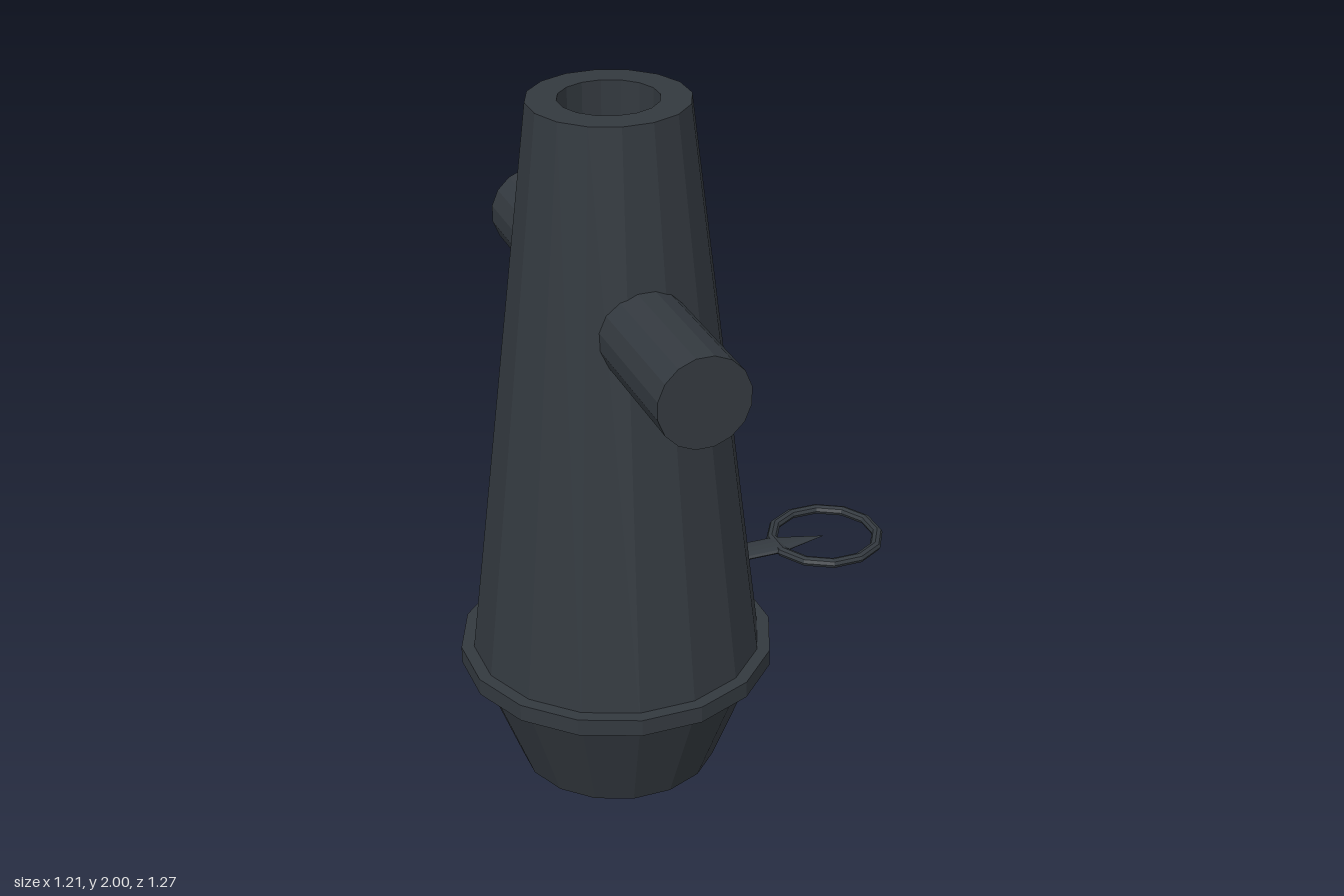
import * as THREE from 'three';

const AXIS_X = -0.182; // the barrel stands off-centre, the ring sits beside it
const SIDES = 16;

export function createModel() {
  const model = new THREE.Group();
  model.name = 'cannon';
  const iron = new THREE.MeshStandardMaterial({ color: 0x33393f, flatShading: true });
  iron.name = 'dark iron';

  const add = (parent, name, geometry, x = 0, y = 0, z = 0) => {
    const mesh = new THREE.Mesh(geometry, iron);
    mesh.name = name;
    mesh.position.set(x, y, z);
    parent.add(mesh);
    return mesh;
  };
  // Faceted turned part with flat sides facing the main axes
  const turned = (points) => new THREE.LatheGeometry(
    points.map(([r, y]) => new THREE.Vector2(r, y)), SIDES, Math.PI / SIDES);

  // Rounded-off breech with a shallow pointed end
  add(model, 'breech', turned([[0, 0], [0.272, 0.08], [0.398, 0.41]]), AXIS_X);

  // Raised band between breech and barrel
  add(model, 'breechBand', turned([[0.39, 0.4], [0.429, 0.4], [0.429, 0.448], [0.39, 0.448]]), AXIS_X);

  // Tapering barrel, muzzle rim and hollow bore
  add(model, 'barrel', turned([[0.399, 0.41], [0.208, 2], [0.129, 2], [0.129, 0.6], [0, 0.6]]), AXIS_X);

  // Cross bar passing through the barrel
  const bar = new THREE.CylinderGeometry(0.121, 0.121, 1.27, SIDES);
  bar.rotateY(Math.PI / SIDES).rotateX(Math.PI / 2);
  add(model, 'trunnions', bar, AXIS_X, 1.465, 0);

  // Flat pin with a sharp tip, and the pull ring around its point
  const pin = new THREE.Group();
  pin.name = 'pullPin';
  pin.position.y = 0.622;
  model.add(pin);
  const alongX = (rTip, rBase, length, x) => {
    const g = new THREE.CylinderGeometry(rTip, rBase, length, 12);
    return g.rotateZ(-Math.PI / 2).scale(1, 0.3, 1).translate(x + length / 2, 0, 0);
  };
  add(pin, 'pinShank', alongX(0.04, 0.04, 0.14, 0.16));
  add(pin, 'pinTip', alongX(0, 0.04, 0.145, 0.295));
  const ring = new THREE.TorusGeometry(0.15, 0.0155, 8, 12);
  ring.rotateZ(Math.PI / 12).rotateX(Math.PI / 2).scale(1, 0.85, 1);
  add(pin, 'pullRing', ring, 0.443);

  return model;
}
